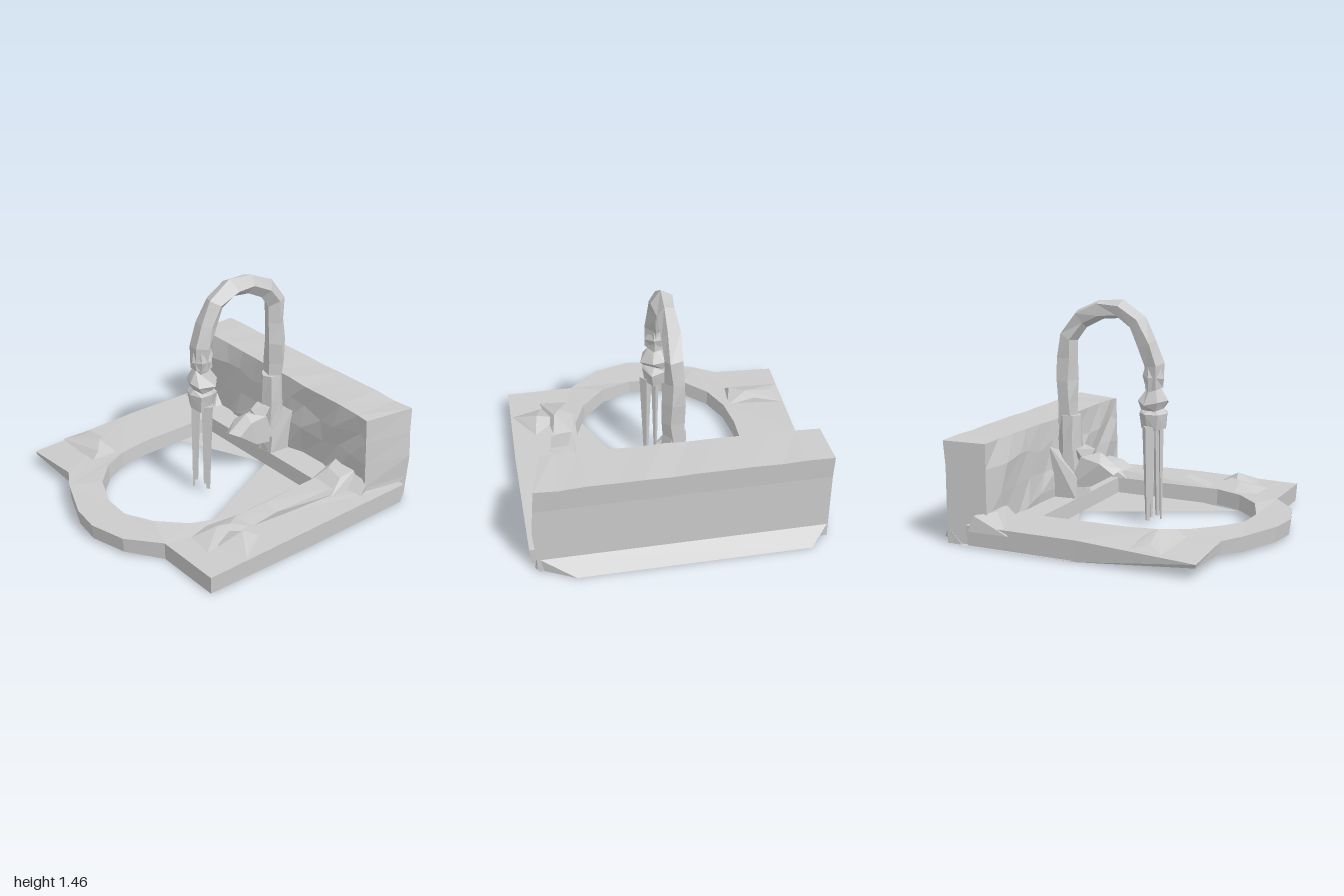
import * as THREE from 'three';
import { mergeVertices } from 'three/addons/utils/BufferGeometryUtils.js';
import { ConvexGeometry } from 'three/addons/geometries/ConvexGeometry.js';

const material = new THREE.MeshStandardMaterial({ color: 0xcccccc, flatShading: true, side: THREE.DoubleSide });

export function createModel() {
  const model = new THREE.Group();
  let seed = 7;
  const rand = () => ((seed = (seed * 16807) % 2147483647) / 2147483647) * 2 - 1;

  const add = (name, geometry) => {
    geometry.computeVertexNormals();
    const mesh = new THREE.Mesh(geometry, material);
    mesh.name = name;
    model.add(mesh);
    return mesh;
  };
  // Weld a geometry and move each vertex by a rule
  const reshape = (geometry, rule) => {
    geometry.deleteAttribute('normal');
    geometry.deleteAttribute('uv');
    const welded = mergeVertices(geometry, 1e-4);
    const p = welded.attributes.position, v = new THREE.Vector3();
    for (let i = 0; i < p.count; i++) {
      rule(v.fromBufferAttribute(p, i));
      p.setXYZ(i, v.x, v.y, v.z);
    }
    return welded;
  };
  const lump = (name, points) => add(name, new ConvexGeometry(points.map((p) => new THREE.Vector3(...p))));

  // Hollow deck: top with a bowl opening, plus inner and outer skirts, open below
  const outer = [[-0.97, 0.77], [-0.56, 0.765], [-0.42, 0.85], [-0.13, 0.97], [0.06, 0.995], [0.3, 0.93],
    [0.5, 0.76], [0.95, 0.76], [0.96, 0], [0.95, -0.85], [-0.94, -0.76], [-0.95, 0]];
  const inner = [[-0.56, -0.43], [-0.56, 0.15], [-0.53, 0.35], [-0.45, 0.52], [-0.3, 0.67], [-0.11, 0.75],
    [0.08, 0.76], [0.28, 0.68], [0.44, 0.52], [0.52, 0.33], [0.54, -0.43]];
  const isTip = (x, z) => x < -0.96 && z > 0.7;
  const deckY = (x, z) => (isTip(x, z) ? 0.095 : z > 0.7 ? 0.12 : 0.135);
  const outerLow = (x, z) => {
    if (isTip(x, z)) return 0.07;
    if (z > 0.7 && x < -0.5) return 0.04;
    return z > 0.8 ? 0.02 : 0;
  };
  const toV2 = (pts) => pts.map(([x, z]) => new THREE.Vector2(x, z));
  const shape = new THREE.Shape(toV2(outer));
  shape.holes.push(new THREE.Path(toV2(inner)));
  const deckTop = reshape(new THREE.ShapeGeometry(shape), (v) => v.set(v.x, deckY(v.x, v.y), v.y));
  deckTop.setIndex([...deckTop.index.array].reverse());
  add('deckTop', deckTop);
  const skirt = (name, loop, low) => {
    const pos = [], idx = [], n = loop.length;
    loop.forEach(([x, z], i) => {
      const j = (i + 1) % n;
      pos.push(x, deckY(x, z), z, x * 0.99, low(x, z), z * 0.99);
      idx.push(2 * i, 2 * i + 1, 2 * j, 2 * j, 2 * i + 1, 2 * j + 1);
    });
    const g = new THREE.BufferGeometry();
    g.setAttribute('position', new THREE.Float32BufferAttribute(pos, 3));
    g.setIndex(idx);
    add(name, g);
  };
  skirt('deckOuterSkirt', outer, outerLow);
  skirt('bowlOpeningSkirt', inner, () => 0.03);

  // Thin sheets closing the underside at the back
  const sheet = (name, pts, y) => {
    const g = new THREE.ShapeGeometry(new THREE.Shape(toV2(pts)));
    add(name, reshape(g, (v) => v.set(v.x, y, v.y)));
  };
  sheet('undersideSheetRight', [[0.9, -0.87], [-0.95, -0.8], [-0.95, -0.03]], 0.005);
  sheet('undersideSheetLeft', [[-0.16, -0.87], [0.95, -0.85], [0.47, 0.5]], 0.012);

  // Roughly hewn back wall with a bevelled left end
  add('backWall', reshape(new THREE.BoxGeometry(1.84, 0.65, 0.31, 11, 4, 1), (v) => {
    v.y += 0.325;
    v.z -= 0.75;
    const end = Math.abs(v.x) > 0.9;
    const inside = !end && v.y > 0.03 && v.y < 0.63;
    if (v.z > -0.7) {
      v.z += inside ? rand() * 0.022 : v.x * 0.025 - 0.012;
      if (inside) { v.x += rand() * 0.05; v.y += rand() * 0.04; }
      if (end) v.x = v.x > 0 ? 0.86 - v.y * 0.04 : -0.905;
    } else {
      if (v.y > 0.6) v.z -= 0.015;
      if (end && v.x > 0) v.x = 0.93 - Math.abs(v.y - 0.33) * 0.08;
    }
    if (v.y > 0.6) v.y += rand() * 0.006;
  }));
  // Sloping foot along the back of the wall
  lump('wallFoot', [[-0.92, 0, -0.8], [0.92, 0, -0.8], [-0.92, 0.1, -0.9], [0.9, 0.1, -0.9],
    [-0.8, 0, -1], [0.68, 0, -1], [-0.92, 0, -0.85], [0.92, 0, -0.88]]);

  // Rough lumps on the deck
  lump('frontRightLump', [[-0.95, 0.12, 0.34], [-0.96, 0.12, 0.55], [-0.58, 0.12, 0.56], [-0.56, 0.12, 0.36],
    [-0.75, 0.165, 0.36], [-0.7, 0.19, 0.42], [-0.6, 0.17, 0.5], [-0.88, 0.15, 0.45]]);
  lump('backRightLump', [[-0.95, 0.1, -0.74], [-0.95, 0.1, -0.46], [-0.64, 0.12, -0.55], [-0.64, 0.14, -0.62],
    [-0.94, 0.2, -0.7], [-0.7, 0.23, -0.62], [-0.86, 0.22, -0.58]]);
  lump('leftRidge', [[0.55, 0.13, 0.28], [0.7, 0.13, 0.22], [0.54, 0.13, -0.5], [0.76, 0.13, -0.5],
    [0.58, 0.18, -0.4], [0.74, 0.18, -0.38], [0.6, 0.18, 0.05], [0.72, 0.17, 0.05]]);
  lump('ridgeEnd', [[0.54, 0.13, -0.36], [0.77, 0.13, -0.36], [0.54, 0.13, -0.62], [0.78, 0.13, -0.62],
    [0.57, 0.25, -0.6], [0.74, 0.24, -0.6], [0.6, 0.23, -0.5], [0.73, 0.22, -0.48]]);
  lump('frontLeftLump', [[0.5, 0.12, 0.45], [0.55, 0.12, 0.6], [0.74, 0.12, 0.62], [0.68, 0.13, 0.25],
    [0.54, 0.13, 0.22], [0.62, 0.18, 0.45], [0.66, 0.19, 0.38]]);
  lump('frontLeftSpur', [[0.62, 0.13, 0.42], [0.94, 0.13, 0.48], [0.8, 0.13, 0.26], [0.74, 0.13, 0.54],
    [0.78, 0.2, 0.38], [0.88, 0.15, 0.42]]);
  lump('backLeftLump', [[0.7, 0.1, -0.45], [0.88, 0.1, -0.5], [0.86, 0.2, -0.6], [0.72, 0.22, -0.6], [0.84, 0.1, -0.62]]);

  // Tap column and base
  const column = new THREE.CylinderGeometry(0.075, 0.095, 0.56, 7, 3);
  add('tapColumn', reshape(column, (v) => v.set(v.x + rand() * 0.008, v.y + 0.4, v.z - 0.525 + rand() * 0.008)));
  lump('tapBase', [[-0.1, 0.12, -0.43], [0.11, 0.12, -0.43], [-0.11, 0.12, -0.6], [0.12, 0.12, -0.6],
    [-0.08, 0.27, -0.44], [0.1, 0.25, -0.45], [-0.15, 0.48, -0.6], [0.13, 0.42, -0.6]]);

  // Curved spout
  const path = new THREE.CatmullRomCurve3([[0, 0.62, -0.54], [0, 0.95, -0.54], [0, 1.2, -0.53], [0, 1.32, -0.44],
    [0, 1.385, -0.3], [0, 1.39, -0.17], [-0.005, 1.33, -0.05], [-0.01, 1.19, 0.035], [0, 1.02, 0.085], [0, 0.9, 0.08]]
    .map((p) => new THREE.Vector3(...p)));
  add('spout', reshape(new THREE.TubeGeometry(path, 11, 0.066, 5), (v) => {
    v.x += rand() * 0.012;
    v.y += rand() * 0.01;
    v.z += rand() * 0.01;
  }));

  // Nozzle with collars
  const profile = [[0, 0.67], [0.08, 0.635], [0.095, 0.73], [0.075, 0.76], [0.105, 0.81], [0.055, 0.89], [0.078, 0.97], [0.05, 1.05]]
    .map(([r, y]) => new THREE.Vector2(r, y));
  add('nozzle', reshape(new THREE.LatheGeometry(profile, 7),
    (v) => v.set(v.x + rand() * 0.01, v.y + rand() * 0.014, v.z + 0.08 + rand() * 0.01)));

  // Water strands running down from the nozzle
  [[-0.07, 0.07, 0.03], [-0.01, 0.138, 0.014], [0.07, 0.08, 0.032], [0.01, 0.06, 0.02]].forEach(([x, z, r], i) => {
    const strand = add('waterStrand' + (i + 1), new THREE.CylinderGeometry(r * 1.25, r * 0.5, 0.62, 4));
    strand.position.set(x, 0.35, z);
  });

  // Handle in front of the column
  lump('tapHandle', [[0, 0.34, -0.15], [-0.06, 0.31, -0.18], [0.06, 0.32, -0.2], [-0.08, 0.38, -0.27],
    [0.07, 0.4, -0.29], [0, 0.44, -0.3], [-0.06, 0.41, -0.42], [0.07, 0.41, -0.42],
    [-0.07, 0.22, -0.34], [0.08, 0.23, -0.33], [0, 0.2, -0.42], [0.08, 0.2, -0.5], [-0.08, 0.2, -0.5]]);
  lump('handleTop', [[-0.05, 0.36, -0.38], [0.07, 0.36, -0.38], [0, 0.46, -0.34], [-0.06, 0.46, -0.45],
    [0.07, 0.47, -0.45], [0, 0.32, -0.47]]);

  return model;
}
